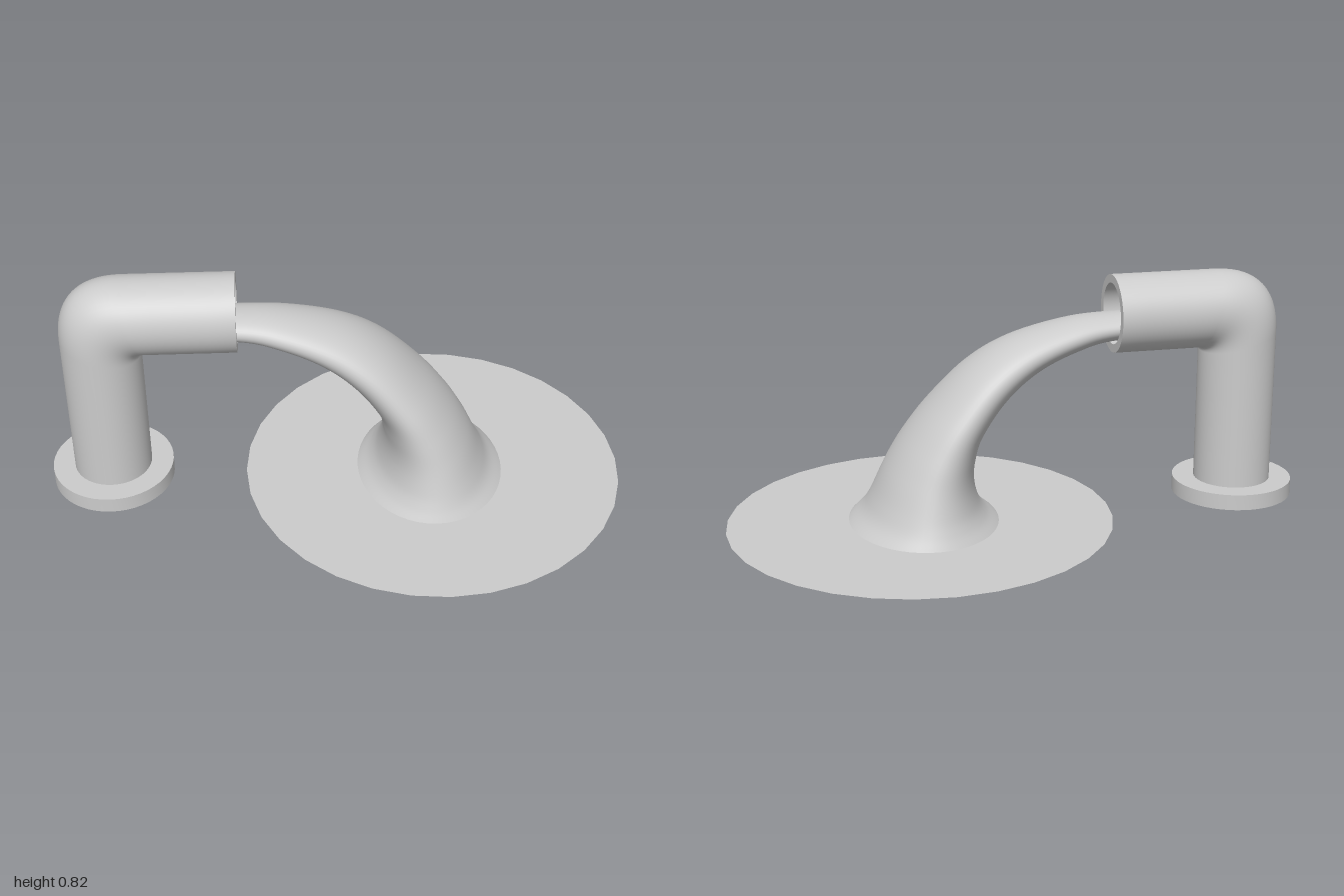
import * as THREE from 'three';
import { toCreasedNormals } from 'three/addons/utils/BufferGeometryUtils.js';

const material = new THREE.MeshStandardMaterial({ color: 0xcccccc, side: THREE.DoubleSide });

// Skin a list of closed rings (arrays of Vector3) with smooth normals
function loft(rings) {
  const n = rings[0].length, index = [];
  for (let i = 0; i < rings.length - 1; i++) {
    for (let j = 0; j < n; j++) {
      const k = (j + 1) % n;
      const a = i * n + j, b = i * n + k, c = a + n, d = b + n;
      index.push(a, b, c, b, d, c);
    }
  }
  const geometry = new THREE.BufferGeometry().setFromPoints(rings.flat());
  geometry.setIndex(index);
  geometry.computeVertexNormals();
  return geometry;
}

function addMesh(parent, name, geometry) {
  const mesh = new THREE.Mesh(geometry, material);
  mesh.name = name;
  parent.add(mesh);
  return mesh;
}

const PIPE_X = -0.79, PIPE_Y = 0.685, PIPE_END = -0.335, PIPE_BOTTOM = 0.01;

// Rings of a pipe wall: upright, through the bend, then level to the mouth.
// Each lengthwise line rounds the corner with a size set by its distance out.
function pipeRings(radius, sides = 48) {
  const ringAt = (place) => Array.from({ length: sides }, (_, j) => {
    const a = (j / sides) * Math.PI * 2;
    const u = radius * Math.cos(a), z = radius * Math.sin(a);
    const corner = new THREE.Vector2(PIPE_X - u, PIPE_Y + u);
    const r = 0.015 + 0.2 * (u + radius) / (2 * radius);
    const p = place(corner, r);
    return new THREE.Vector3(p.x, p.y, z);
  });
  const rings = [];
  const straight = 4, bend = 14;
  for (let i = 0; i < straight; i++) {
    rings.push(ringAt((c, r) => new THREE.Vector2(c.x,
      THREE.MathUtils.lerp(PIPE_BOTTOM, c.y - r, i / straight))));
  }
  for (let i = 0; i <= bend; i++) {
    const t = i / bend;
    rings.push(ringAt((c, r) => new THREE.Vector2(c.x + r * t * t, c.y - r * (1 - t) ** 2)));
  }
  for (let i = 1; i <= straight; i++) {
    rings.push(ringAt((c, r) => new THREE.Vector2(
      THREE.MathUtils.lerp(c.x + r, PIPE_END, i / straight), c.y)));
  }
  return rings;
}

function makePipe() {
  const pipe = new THREE.Group();
  pipe.name = 'pipe';
  const outer = pipeRings(0.134), inner = pipeRings(0.105);
  addMesh(pipe, 'pipeOuterWall', loft(outer));
  addMesh(pipe, 'pipeInnerWall', loft([...inner].reverse()));
  addMesh(pipe, 'pipeMouthRim', loft([outer.at(-1), inner.at(-1)]));

  // Flange ring at the foot, open in the middle
  const profile = [[0.105, 0.01], [0.21, 0.01], [0.21, 0.065], [0.13, 0.065]]
    .map(([r, y]) => new THREE.Vector2(r, y));
  const flange = addMesh(pipe, 'flange',
    toCreasedNormals(new THREE.LatheGeometry(profile, 48).toNonIndexed(), 0.6));
  flange.position.x = PIPE_X;
  return pipe;
}

// Falling stream: [upper x, upper y, lower x, lower y, half width] per section
function makeStream() {
  const sections = [
    [-0.6, 0.69, -0.6, 0.6, 0.085],
    [-0.335, 0.69, -0.335, 0.595, 0.09],
    [-0.17, 0.675, -0.2, 0.565, 0.112],
    [0.02, 0.623, -0.07, 0.51, 0.145],
    [0.165, 0.54, 0.04, 0.425, 0.18],
    [0.3, 0.41, 0.125, 0.31, 0.213],
    [0.39, 0.3, 0.152, 0.22, 0.232],
    [0.452, 0.2, 0.155, 0.15, 0.25],
    [0.5, 0.1, 0.14, 0.085, 0.275],
    [0.533, 0.045, 0.113, 0.04, 0.295],
    [0.58, 0.002, 0.07, 0.002, 0.315],
  ];
  const spline = (pick) => new THREE.CatmullRomCurve3(
    sections.map((s) => new THREE.Vector3(...pick(s))), false, 'catmullrom', 0.5);
  const upper = spline((s) => [s[0], s[1], s[4]]);
  const lower = spline((s) => [s[2], s[3], s[4]]);
  const steps = 60, sides = 48, rings = [];
  for (let i = 0; i <= steps; i++) {
    const p = upper.getPoint(i / steps), q = lower.getPoint(i / steps);
    rings.push(Array.from({ length: sides }, (_, j) => {
      const a = (j / sides) * Math.PI * 2;
      const point = q.clone().lerp(p, 0.5 + 0.5 * Math.cos(a));
      return point.setZ(p.z * Math.sin(a));
    }));
  }
  return loft(rings);
}

export function createModel() {
  const model = new THREE.Group();
  model.name = 'pipeWithWater';
  model.add(makePipe());
  addMesh(model, 'waterStream', makeStream());

  // Flat round puddle
  const puddle = addMesh(model, 'puddle', new THREE.CircleGeometry(0.66, 32));
  puddle.rotation.x = -Math.PI / 2;
  puddle.position.x = 0.335;
  return model;
}
